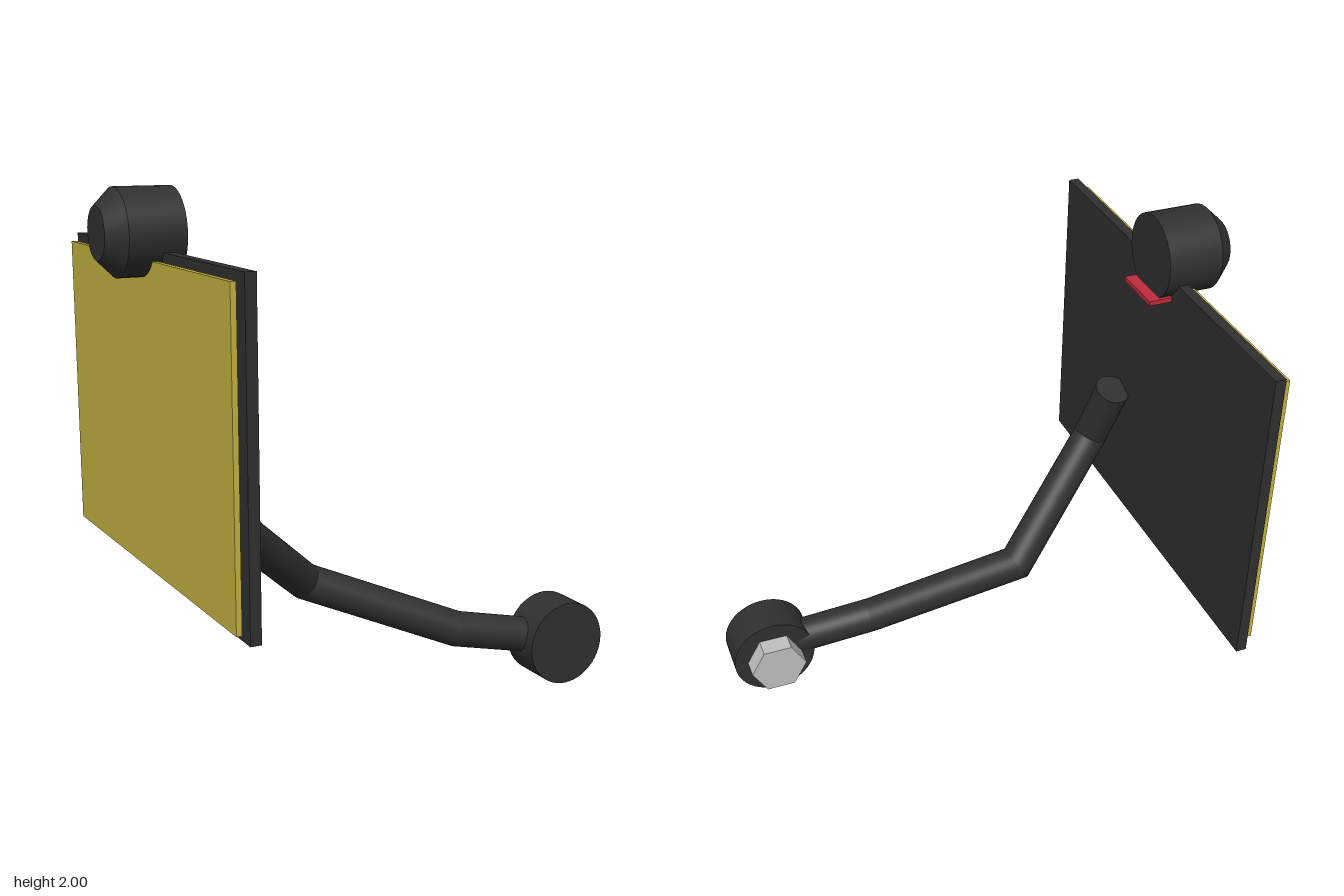
import * as THREE from 'three';
import { mergeGeometries, toCreasedNormals } from 'three/addons/utils/BufferGeometryUtils.js';

const paint = (name, color) => {
  const m = new THREE.MeshStandardMaterial({ color });
  m.name = name;
  return m;
};

// Round bar along a polyline, with mitred bends and flat ends
function mitredBar(points, radius, sides) {
  const dirs = points.slice(1).map((p, i) => p.clone().sub(points[i]).normalize());
  const u = new THREE.Vector3(0, 0, 1).cross(dirs[0]).normalize();
  const v = dirs[0].clone().cross(u);
  let ring = [];
  for (let j = 0; j <= sides; j++) {
    const a = (j / sides) * Math.PI * 2;
    ring.push(points[0].clone().addScaledVector(u, Math.cos(a) * radius).addScaledVector(v, Math.sin(a) * radius));
  }
  const parts = [];
  const build = (pos, nor, idx) => {
    const g = new THREE.BufferGeometry();
    g.setAttribute('position', new THREE.Float32BufferAttribute(pos, 3));
    g.setAttribute('normal', new THREE.Float32BufferAttribute(nor, 3));
    g.setIndex(idx);
    parts.push(g);
  };
  const cap = (center, loop, normal, flip) => {
    const pos = [...center.toArray()], nor = [...normal.toArray()], idx = [];
    loop.forEach((p, j) => {
      pos.push(p.x, p.y, p.z);
      nor.push(normal.x, normal.y, normal.z);
      if (j < sides) idx.push(0, ...(flip ? [j + 2, j + 1] : [j + 1, j + 2]));
    });
    build(pos, nor, idx);
  };
  cap(points[0], ring, dirs[0].clone().negate(), true);
  dirs.forEach((d, i) => {
    const end = points[i + 1];
    const plane = d.clone().add(dirs[i + 1] ?? d).normalize();
    // slide each corner along the bar until it meets the mitre plane
    const next = ring.map((p) =>
      p.clone().addScaledVector(d, end.clone().sub(p).dot(plane) / d.dot(plane)));
    const pos = [], nor = [], idx = [];
    ring.forEach((p, j) => {
      const n = p.clone().sub(points[i]);
      n.addScaledVector(d, -n.dot(d)).normalize();
      pos.push(...p.toArray(), ...next[j].toArray());
      nor.push(...n.toArray(), ...n.toArray());
      if (j < sides) {
        const a = j * 2;
        idx.push(a, a + 2, a + 1, a + 1, a + 2, a + 3);
      }
    });
    build(pos, nor, idx);
    ring = next;
  });
  cap(points[points.length - 1], ring, dirs[dirs.length - 1], false);
  return mergeGeometries(parts);
}

export function createModel() {
  const group = new THREE.Group();
  const black = paint('black', 0x303030);
  const yellow = paint('yellow', 0xc4b240);
  const red = paint('red', 0xbe2c3a);
  const steel = paint('steel', 0xc0c0c0);

  const add = (name, geometry, material, x = 0, y = 0, z = 0) => {
    const mesh = new THREE.Mesh(geometry, material);
    mesh.name = name;
    mesh.position.set(x, y, z);
    group.add(mesh);
    return mesh;
  };

  // Upright board with a coloured sheet behind it
  add('board', new THREE.BoxGeometry(0.04, 1.19, 1.655), black, -0.76, 1.185, 0);
  add('sheet', new THREE.BoxGeometry(0.02, 1.13, 1.595), yellow, -0.805, 1.185, 0);

  // Round housing with a chamfered rear end, lying along x
  const profile = [[0, -0.97], [0.095, -0.97], [0.157, -0.905], [0.157, -0.695], [0, -0.695]]
    .map(([r, h]) => new THREE.Vector2(r, h));
  const housing = toCreasedNormals(new THREE.LatheGeometry(profile, 40), 0.5);
  housing.rotateZ(-Math.PI / 2);
  add('housing', housing, black, 0, 1.843, 0);
  add('clip', new THREE.BoxGeometry(0.15, 0.018, 0.207), red, -0.725, 1.705, 0);

  // Bent arm from the board down to the foot
  const path = [
    [-0.687, 1.14, 0.213], [-0.65, 0.868, 0.315], [-0.212, 0.495, 0.053],
    [0.37, 0.257, 0.218], [0.8, 0.172, 0.285],
  ].map((p) => new THREE.Vector3(...p));
  add('arm', mitredBar(path, 0.07, 32), black);

  // Foot disc and hexagonal nut
  const disc = new THREE.CylinderGeometry(0.168, 0.168, 0.17, 48).rotateX(Math.PI / 2);
  add('footDisc', disc, black, 0.798, 0.172, 0.287);
  const nut = toCreasedNormals(new THREE.CylinderGeometry(0.114, 0.114, 0.085, 6), 0.3);
  nut.rotateY(Math.PI / 2).rotateX(Math.PI / 2);
  add('nut', nut, steel, 0.798, 0.172, 0.168);

  return group;
}
